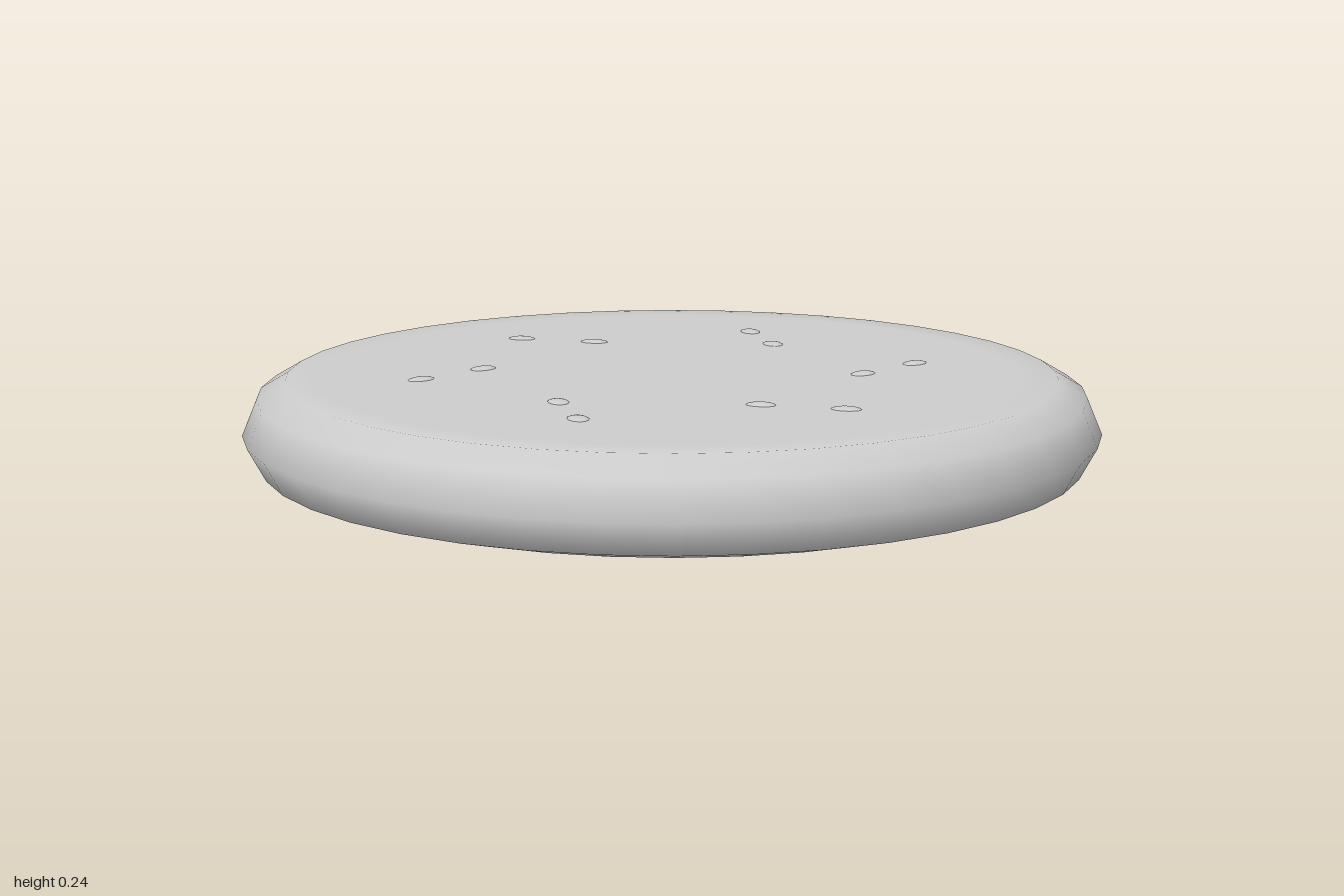
import * as THREE from 'three';

export function createModel() {
  const group = new THREE.Group();
  const grey = new THREE.MeshStandardMaterial({ color: 0xcccccc });
  grey.name = 'light grey';

  // Rounded disc, turned from bottom centre to top centre
  const profile = [
    [0, 0], [0.78, 0], [0.84, 0], [0.96, 0.035], [1, 0.11],
    [0.965, 0.193], [0.9, 0.231], [0.82, 0.231], [0, 0.231],
  ].map(([r, y]) => new THREE.Vector2(r, y));
  const disc = new THREE.Mesh(new THREE.LatheGeometry(profile, 40), grey);
  disc.name = 'disc';
  group.add(disc);

  // Six pairs of shallow oval bumps, spaced evenly around the top
  const bumpGeometry = new THREE.SphereGeometry(1, 14, 6, 0, Math.PI * 2, 0, Math.PI / 2);
  bumpGeometry.scale(0.035, 0.007, 0.024);
  for (let k = 0; k < 6; k++) {
    const pair = new THREE.Group();
    pair.name = 'bumpPair';
    for (const [x, z] of [[0.29, 0.34], [0.48, 0.34]]) {
      const bump = new THREE.Mesh(bumpGeometry, grey);
      bump.name = 'bump';
      bump.position.set(x, 0.23, z);
      pair.add(bump);
    }
    pair.rotation.y = (k * Math.PI) / 3;
    group.add(pair);
  }
  return group;
}
